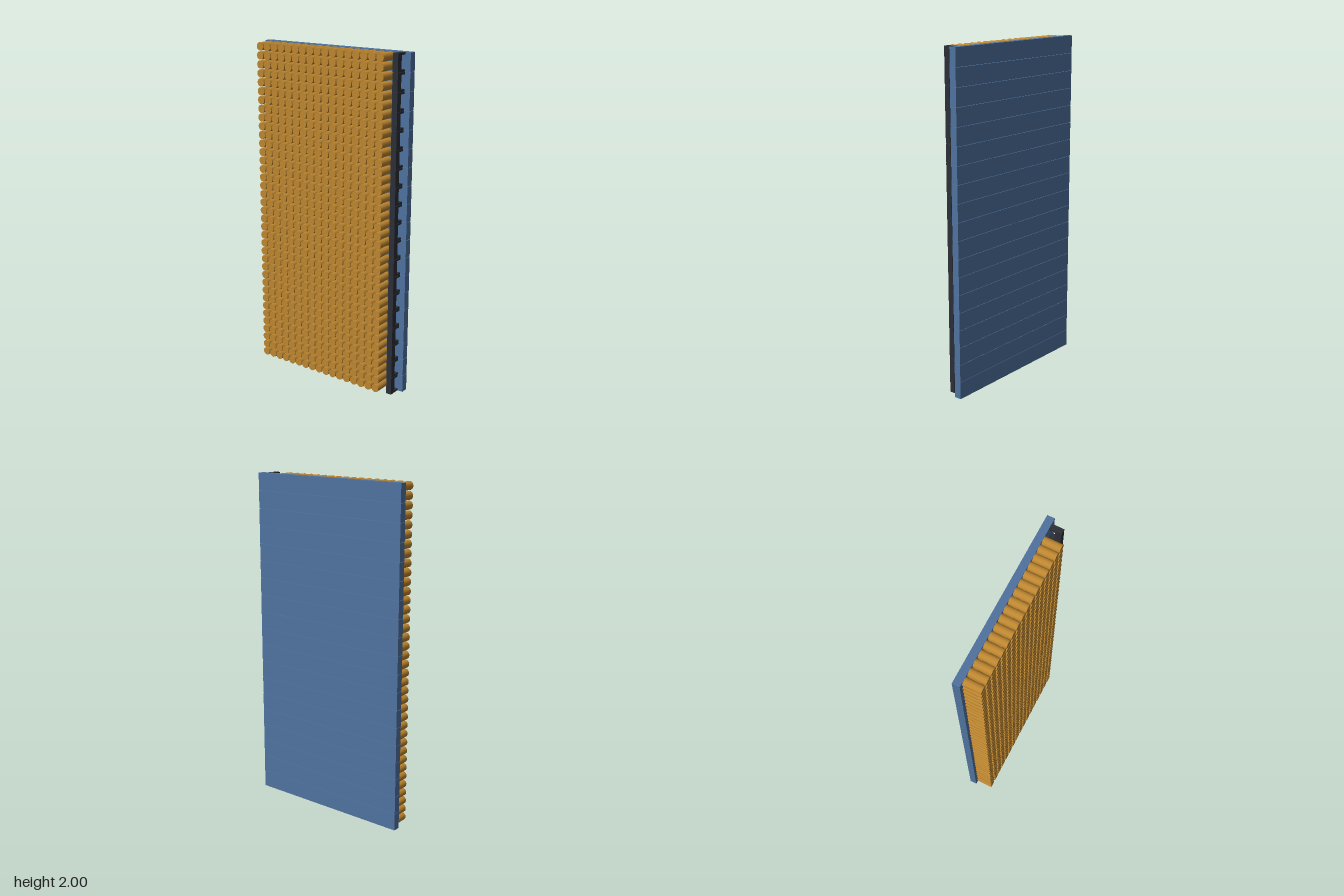
import * as THREE from 'three';

const BOARDS = 19, PITCH = 2 / BOARDS, HEIGHT = PITCH - 0.002;
const COLUMNS = 17, SPACING = 0.0527, RADIUS = 0.0243;

const blue = new THREE.MeshStandardMaterial({ color: 0x4f729f });
const orange = new THREE.MeshStandardMaterial({ color: 0xbd8630 });
const black = new THREE.MeshStandardMaterial({ color: 0x2b2e35 });

function add(parent, name, geometry, material, x, y, z) {
  const mesh = new THREE.Mesh(geometry, material);
  mesh.name = name;
  mesh.position.set(x, y, z);
  parent.add(mesh);
  return mesh;
}

export function createModel() {
  const model = new THREE.Group();
  model.name = 'stackedCellModules';

  const boardGeo = new THREE.BoxGeometry(1.016, HEIGHT, 0.043);
  const cellGeo = new THREE.CylinderGeometry(RADIUS, RADIUS, 0.102, 24).rotateX(Math.PI / 2);
  const barGeo = new THREE.BoxGeometry(0.034, HEIGHT, 0.035);
  const legGeo = new THREE.BoxGeometry(0.034, 0.012, 0.038);

  for (let i = 0; i < BOARDS; i++) {
    const module = new THREE.Group();
    module.name = 'module' + (i + 1);
    module.position.y = (i + 0.5) * PITCH;
    model.add(module);

    // Flat backing board
    add(module, 'board', boardGeo, blue, 0, 0, -0.0515);

    // Two rows of round cells on the front
    for (const side of [-1, 1]) {
      for (let c = 0; c < COLUMNS; c++) {
        add(module, 'cell', cellGeo, orange, -0.463 + c * SPACING, side * PITCH / 4, 0.021);
      }
    }

    // Bracket handle: bar standing on a leg at each end
    add(module, 'handleBar', barGeo, black, 0.457, 0, 0.0225);
    for (const side of [-1, 1]) {
      add(module, 'handleLeg', legGeo, black, 0.457, side * (HEIGHT / 2 - 0.006), -0.012);
    }
  }
  return model;
}
